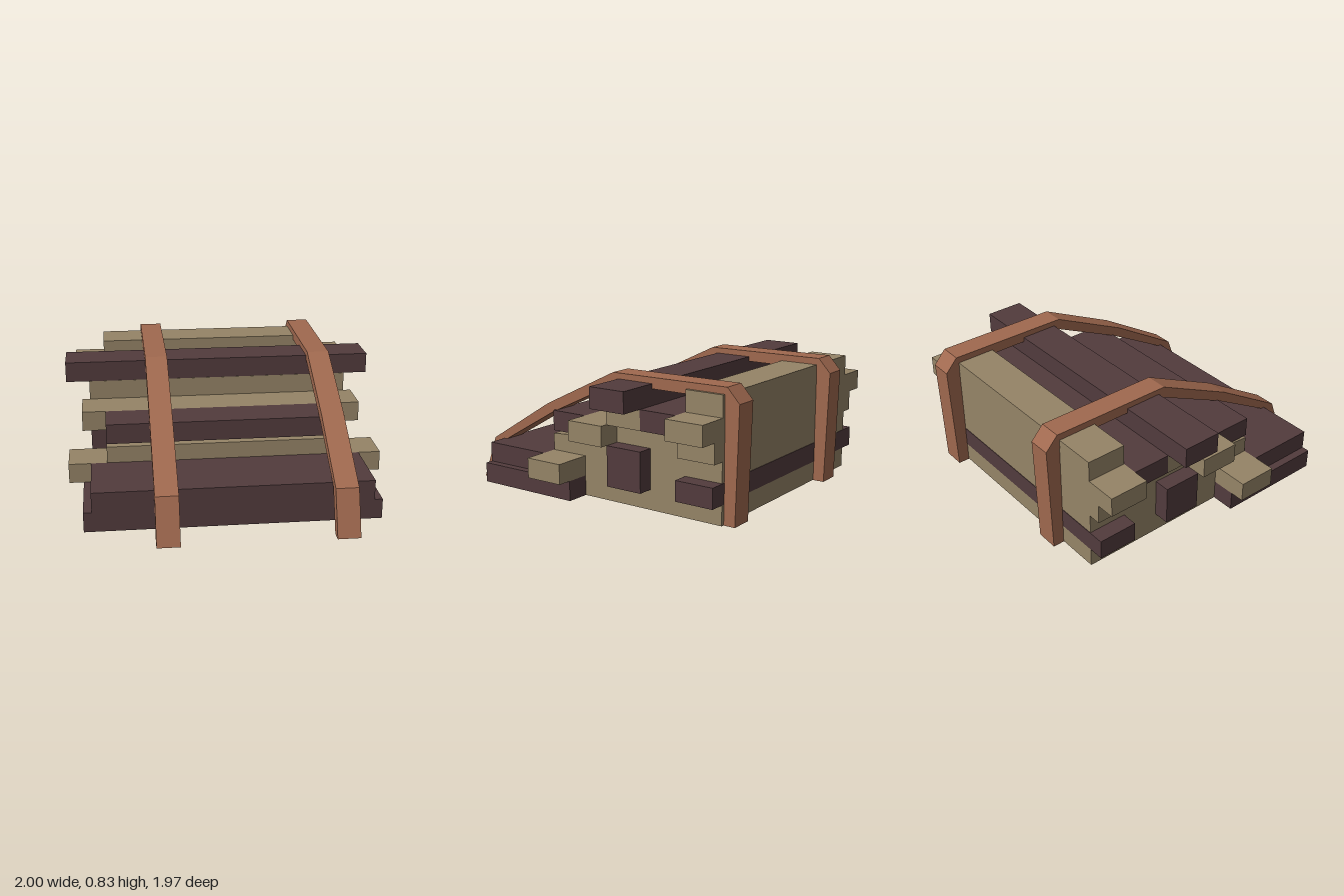
import * as THREE from 'three';

const material = (color) => new THREE.MeshStandardMaterial({ color, flatShading: true, side: THREE.DoubleSide });

// Extrude a side profile of [z, y] points along x, centred on the given x.
function sideExtrude(points, width, x) {
  const shape = new THREE.Shape(points.map(([z, y]) => new THREE.Vector2(z, y)));
  const geometry = new THREE.ExtrudeGeometry(shape, { depth: width, bevelEnabled: false });
  geometry.translate(0, 0, -width / 2);
  geometry.rotateY(-Math.PI / 2);
  geometry.translate(x, 0, 0);
  return geometry;
}

export function createModel() {
  const model = new THREE.Group();
  model.name = 'strappedPlankStack';
  const tan = material(0x958467);
  const dark = material(0x523b3d);
  const leather = material(0xa0694f);

  const add = (name, geometry, mat) => {
    const mesh = new THREE.Mesh(geometry, mat);
    mesh.name = name;
    model.add(mesh);
  };

  // Solid stepped middle of the stack
  add('stackCore', sideExtrude([
    [0.10, 0.035], [0.10, 0.16], [0.35, 0.16], [0.35, 0.39], [0.10, 0.41],
    [0.10, 0.535], [-0.15, 0.535], [-0.15, 0.66], [-0.395, 0.66], [-0.395, 0.535],
    [-0.64, 0.535], [-0.64, 0.79], [-0.89, 0.79], [-0.89, 0.035],
  ], 1.5, 0), tan);

  // Planks: half length, bottom, top, back z, front z, material
  const planks = [
    [0.90, 0.035, 0.16, 0.35, 0.80, dark],
    [0.90, 0.035, 0.16, 0.10, 0.35, dark],
    [0.85, 0.16, 0.285, 0.35, 0.80, dark],
    [0.99, 0.16, 0.285, 0.10, 0.352, tan],
    [0.85, 0.16, 0.41, -0.395, -0.15, dark],
    [0.85, 0.16, 0.285, -0.893, -0.64, dark],
    [0.75, 0.41, 0.537, 0.10, 0.35, dark],
    [0.90, 0.41, 0.537, -0.15, 0.102, tan],
    [0.83, 0.41, 0.535, -0.89, -0.64, tan],
    [0.85, 0.535, 0.66, -0.395, -0.148, tan],
    [0.85, 0.535, 0.66, -0.64, -0.395, dark],
    [0.95, 0.535, 0.66, -0.89, -0.64, tan],
    [1.00, 0.66, 0.79, -0.395, -0.15, dark],
  ];
  for (const [half, y0, y1, z0, z1, mat] of planks) {
    const geometry = new THREE.BoxGeometry(half * 2, y1 - y0, z1 - z0);
    geometry.translate(0, (y0 + y1) / 2, (z0 + z1) / 2);
    add('plank', geometry, mat);
  }

  // Two straps bent over the stack
  const strapProfile = [
    [0.985, 0], [0.88, 0.28], [0.41, 0.57], [-0.11, 0.825], [-0.905, 0.832], [-0.985, 0.745], [-0.965, 0.035],
    [-0.892, 0.035], [-0.892, 0.73], [-0.87, 0.76], [-0.13, 0.76], [0.37, 0.52], [0.81, 0.265], [0.915, 0],
  ];
  for (const x of [-0.41, 0.66]) add('strap', sideExtrude(strapProfile, 0.142, x), leather);

  return model;
}
